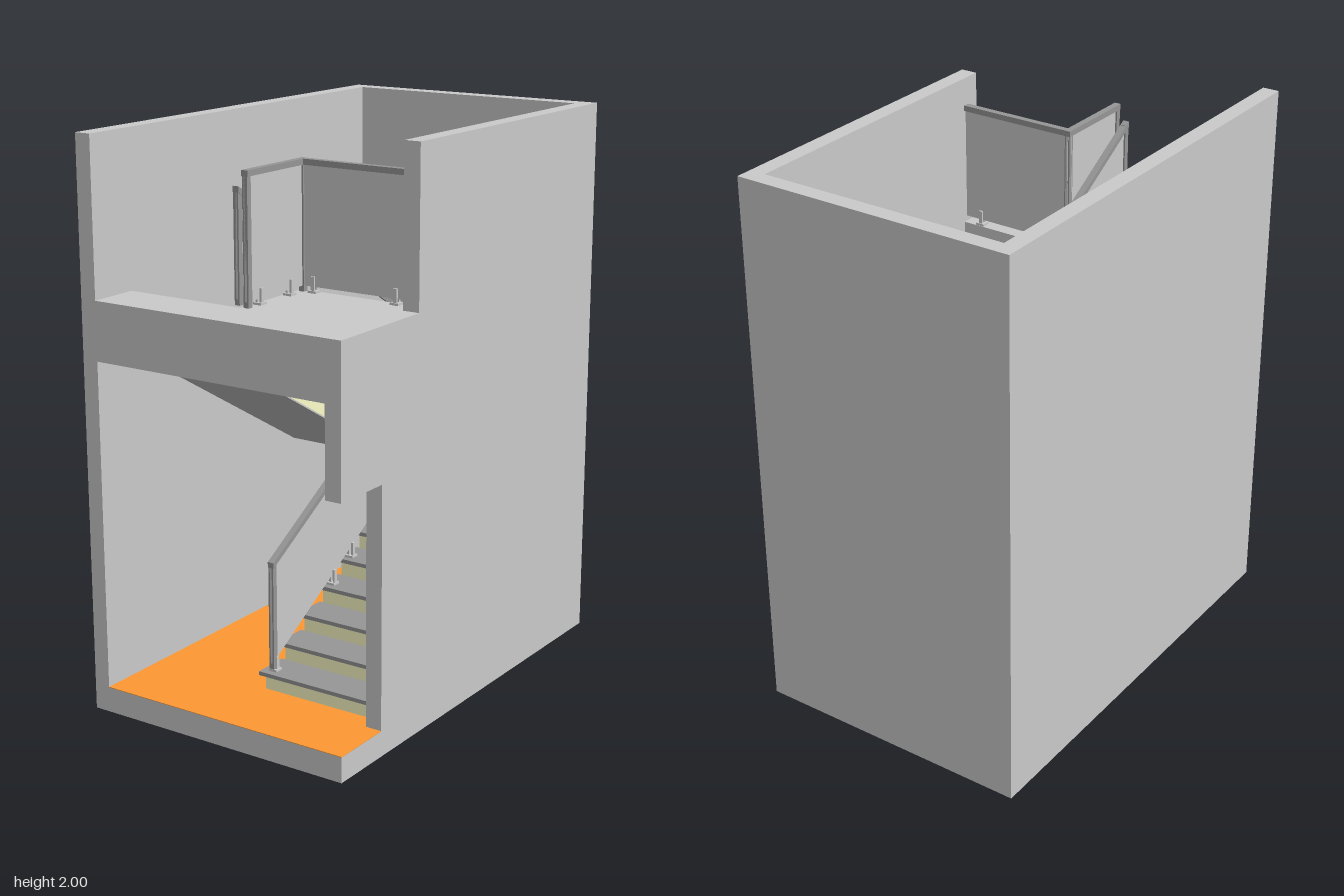
import * as THREE from 'three';

const mat = (color) => new THREE.MeshStandardMaterial({ color, flatShading: true });
const grey = mat(0xcccccc), dark = mat(0x979797), cream = mat(0xffffcc), orange = mat(0xff9933);

const W = 0.515, IN = 0.455, D = 0.815, BACK = -0.755; // outer and inner shell limits
const FLOOR = 0.09, UPPER = 1.455, RISE = (UPPER - FLOOR) / 20;
const TREAD = 0.014, NOSE = 0.018, TURN = -0.288;

export function createModel() {
  const model = new THREE.Group();

  const add = (name, geometry, material, parent = model) => {
    const mesh = new THREE.Mesh(geometry, material);
    mesh.name = name;
    parent.add(mesh);
    return mesh;
  };
  const box = (name, x0, x1, y0, y1, z0, z1, material = grey, parent = model) => {
    const mesh = add(name, new THREE.BoxGeometry(x1 - x0, y1 - y0, z1 - z0), material, parent);
    mesh.position.set((x0 + x1) / 2, (y0 + y1) / 2, (z0 + z1) / 2);
    return mesh;
  };
  // Extrudes a side outline of [z, y] points from x0 to x1
  const side = (points, x0, x1) => {
    const shape = new THREE.Shape(points.map(([z, y]) => new THREE.Vector2(-z, y)));
    return new THREE.ExtrudeGeometry(shape, { depth: x1 - x0, bevelEnabled: false })
      .rotateY(Math.PI / 2).translate(x0, 0, 0);
  };
  // Extrudes a plan outline of [x, z] points from y0 to y1
  const plan = (points, y0, y1) => {
    const shape = new THREE.Shape(points.map(([x, z]) => new THREE.Vector2(x, -z)));
    return new THREE.ExtrudeGeometry(shape, { depth: y1 - y0, bevelEnabled: false })
      .rotateX(-Math.PI / 2).translate(0, y0, 0);
  };

  // Shell: base, back wall, plain side wall and notched side wall
  box('base', -IN, IN, 0, FLOOR, BACK, D);
  box('backWall', -IN, IN, 0, 2, -D, BACK);
  box('rightWall', -W, -IN, 0, 2, -D, D);
  add('leftWall', side([[-D, 0], [D, 0], [D, FLOOR], [0.585, FLOOR], [0.585, 0.94], [D, 0.94],
    [D, UPPER], [0.375, UPPER], [0.375, 2], [-D, 2]], IN, W), grey);
  box('floorCovering', -IN, IN, FLOOR, FLOOR + 0.002, BACK, D, orange);
  box('doorSill', IN, W, FLOOR, FLOOR + 0.002, 0.585, D, orange);
  add('upperFloor', plan([[-IN, D], [IN, D], [IN, 0.295], [0, 0.295], [0, 0.632], [-IN, 0.632]],
    1.25, UPPER), grey);

  // Straight flight: z0 first riser, going is signed, firstTop the first tread height
  const flight = (name, x0, x1, t0, t1, z0, going, count, firstTop, bottom) => {
    const group = new THREE.Group();
    group.name = name;
    const dir = Math.sign(going), outline = [];
    for (let k = 0; k < count; k++) {
      const z = z0 + k * going, top = firstTop + k * RISE;
      outline.push([z, top - TREAD], [z + going, top - TREAD]);
      const ends = [z - dir * NOSE, z + going];
      box('tread', t0, t1, top - TREAD, top, Math.min(...ends), Math.max(...ends), dark, group);
    }
    add('stepBody', side([...outline, ...bottom], x0, x1), cream, group);
    // Plaster under the sloping part of the body
    const [a, b] = bottom;
    add('soffit', side([a, b, [b[0], b[1] - 0.006], [a[0], a[1] - 0.006]], x0, x1), grey, group);
    model.add(group);
  };
  const LOW = FLOOR + RISE, HIGH = UPPER - 8 * RISE;
  flight('lowerFlight', 0, IN, -0.015, 0.452, 0.522, -0.1157, 7, LOW,
    [[TURN, 0.48], [0.37, FLOOR + 0.004], [0.522, FLOOR]]);
  flight('upperFlight', -IN, 0, -0.452, 0.015, TURN, 0.115, 8, HIGH,
    [[0.632, 1.25], [TURN, 0.72]]);
  box('topRiser', -IN, 0, 1.25, UPPER - TREAD, 0.625, 0.634, cream);

  // Winders fan round a pivot, with a soffit that rises with the angle
  const pivot = [0.008, TURN];
  const fan = [
    [[IN, TURN], [IN, -0.69]],
    [[IN, -0.69], [IN, BACK], [0.015, BACK]],
    [[0.015, BACK], [-0.39, BACK]],
    [[-0.39, BACK], [-IN, BACK], [-IN, TURN]],
  ];
  fan.forEach((edge, i) => {
    const top = LOW + (7 + i) * RISE;
    const body = plan([pivot, ...edge], 0, top - TREAD);
    const p = body.attributes.position;
    for (let v = 0; v < p.count; v++) {
      if (p.getY(v) > 0.1) continue;
      const dx = p.getX(v) - pivot[0], dz = pivot[1] - p.getZ(v);
      const angle = Math.hypot(dx, dz) < 0.01 ? (i + 0.5) * Math.PI / 4 : Math.atan2(Math.max(dz, 0), dx);
      p.setY(v, 0.48 + 0.265 * angle / Math.PI);
    }
    body.computeVertexNormals();
    add('winderBody', body, [grey, cream]);

    const [a] = edge, dx = a[0] - pivot[0], dz = a[1] - pivot[1], s = NOSE / Math.hypot(dx, dz);
    const shift = ([x, z]) => [x - dz * s, z + dx * s];
    add('winderTread', plan([shift(pivot), shift(a), ...edge, pivot], top - TREAD, top), dark);
  });
  box('backSkirting', 0.015, IN, 0.69, 0.73, BACK, BACK + 0.004, cream);

  // Railing along z from (z0, y0) to (z1, y1): posts, handrail and infill panel
  const railing = (name, x, z0, y0, z1, y1, h, ends = [true, true]) => {
    const group = new THREE.Group();
    group.name = name;
    const band = (lo, hi, half, label, material) => add(label, side(
      [[z0, y0 + lo], [z1, y1 + lo], [z1, y1 + hi], [z0, y0 + hi]], x - half, x + half), material, group);
    band(0.02, h - 0.02, 0.004, 'panel', grey);
    band(h - 0.02, h, 0.012, 'handrail', dark);
    [[z0, y0, 0.02], [z1, y1, -0.02]].forEach(([z, y, w], i) => {
      if (ends[i]) box('post', x - 0.01, x + 0.01, y, y + h - 0.01, Math.min(z, z + w), Math.max(z, z + w), dark, group);
    });
    model.add(group);
    return group;
  };
  // Panel clamp on a small base plate
  const clamp = (x, y, z, parent) => {
    box('clampBase', x - 0.016, x + 0.016, y, y + 0.008, z - 0.016, z + 0.016, grey, parent);
    for (const s of [-1, 1])
      box('clampJaw', x + s * 0.008 - 0.004, x + s * 0.008 + 0.004, y, y + 0.055, z - 0.007, z + 0.007, grey, parent);
  };

  const lower = railing('lowerStairRailing', 0.025, -0.305, 0.655, 0.52, 0.169, 0.387);
  [[0, 0.5], [3, 0.15], [4, 0.035], [6, -0.2]].forEach(([k, z]) => clamp(0.025, LOW + k * RISE, z, lower));

  const upper = railing('upperStairRailing', -0.022, -0.305, HIGH, 0.62, 1.458, 0.387);
  [[0, -0.265], [3, 0.08], [4, 0.195], [7, 0.54]].forEach(([k, z]) => clamp(-0.022, HIGH + k * RISE, z, upper));

  const landing = railing('landingSideRailing', 0.02, 0.3, UPPER, 0.628, UPPER, 0.445, [false, true]);
  [0.39, 0.555].forEach((z) => clamp(0.02, UPPER, z, landing));

  // Same railing turned to run across the landing
  const cross = railing('landingCrossRailing', -0.313, 0.01, UPPER, IN, UPPER, 0.445, [true, false]);
  [0.065, 0.39].forEach((z) => clamp(-0.313, UPPER, z, cross));
  cross.rotation.y = Math.PI / 2;

  return model;
}
